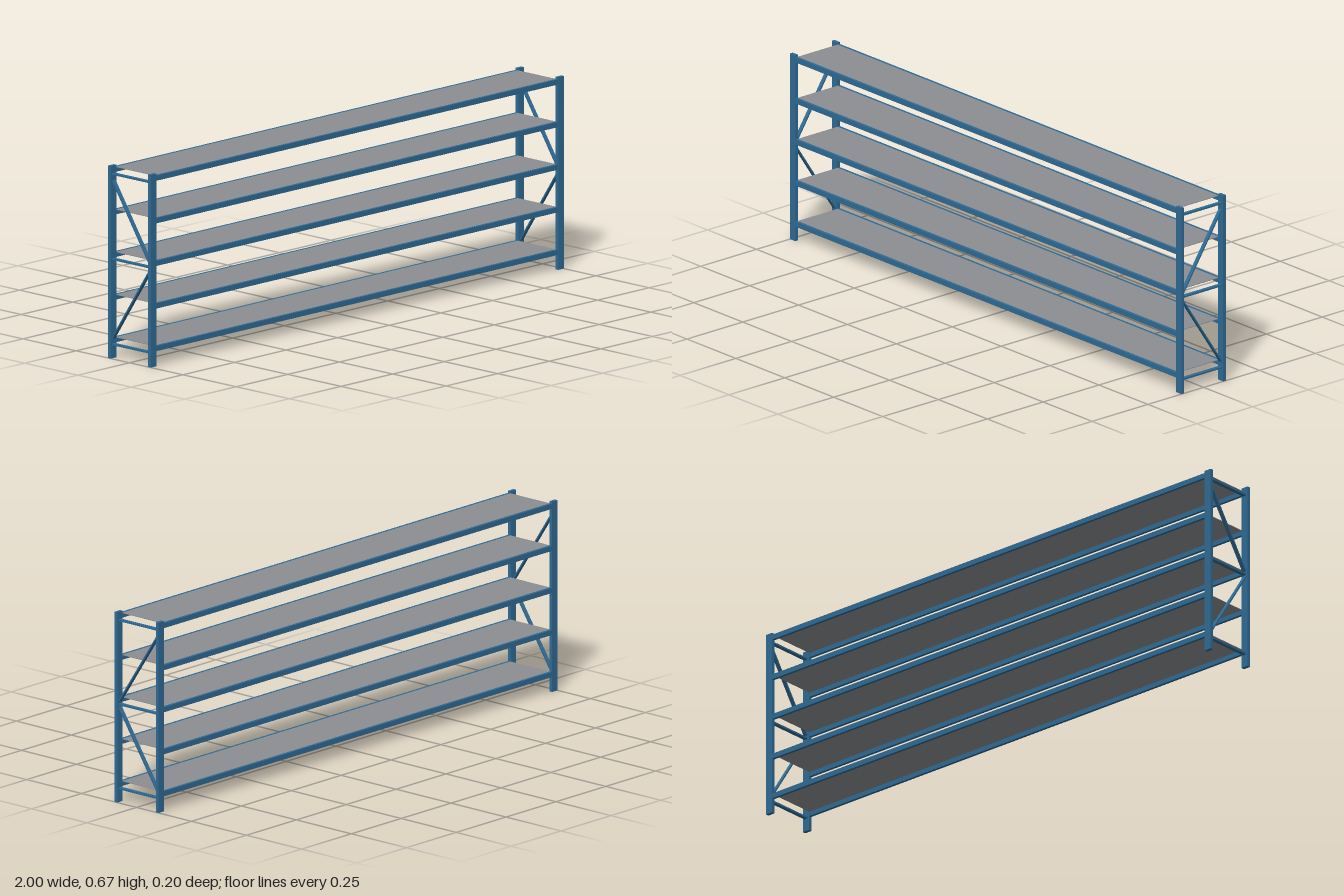
import * as THREE from 'three';

export function createModel() {
  const model = new THREE.Group();
  model.name = 'palletRack';
  const steelBlue = new THREE.MeshStandardMaterial({ color: 0x2f6a94 });
  steelBlue.name = 'steelBlue';
  const deckGrey = new THREE.MeshStandardMaterial({ color: 0x8b8e91 });
  deckGrey.name = 'deckGrey';

  const height = 0.667, postW = 0.027, postD = 0.0125;
  const postX = 1 - postW / 2, postZ = 0.1 - postD / 2;
  const innerX = 1 - postW, innerZ = 0.1 - postD;
  const braceW = 0.014;

  function box(parent, name, material, size, position) {
    const mesh = new THREE.Mesh(new THREE.BoxGeometry(...size), material);
    mesh.name = name;
    mesh.position.set(...position);
    parent.add(mesh);
    return mesh;
  }

  // Flat strip running between two (z, y) points of an end frame
  function diagonal(parent, x, z0, y0, z1, y1) {
    const dz = z1 - z0, dy = y1 - y0;
    const strip = box(parent, 'diagonalBrace', steelBlue,
      [braceW, 0.005, Math.hypot(dz, dy)], [x, (y0 + y1) / 2, (z0 + z1) / 2]);
    strip.rotation.x = -Math.atan2(dy, dz);
  }

  // End frames: two posts, three rungs and two diagonals each
  for (const side of [-1, 1]) {
    const frame = new THREE.Group();
    frame.name = side > 0 ? 'leftEndFrame' : 'rightEndFrame';
    const x = side * postX;
    for (const z of [-postZ, postZ]) {
      box(frame, 'post', steelBlue, [postW, height, postD], [x, height / 2, z]);
    }
    for (const y of [0.048, 0.343, 0.638]) {
      box(frame, 'crossBar', steelBlue, [braceW, 0.006, innerZ * 2], [x, y, 0]);
    }
    diagonal(frame, x, -innerZ, 0.07, innerZ, 0.333);
    diagonal(frame, x, innerZ, 0.353, -innerZ, 0.616);
    model.add(frame);
  }

  // Levels: a thin deck between a front and a back beam
  for (let i = 0; i < 5; i++) {
    const level = new THREE.Group();
    level.name = 'shelfLevel' + (i + 1);
    const top = 0.07 + i * 0.1475;
    for (const z of [-0.0945, 0.0945]) {
      box(level, 'beam', steelBlue, [innerX * 2, 0.018, 0.01], [0, top - 0.009, z]);
    }
    box(level, 'deck', deckGrey, [innerX * 2, 0.002, 0.179], [0, top - 0.001, 0]);
    model.add(level);
  }
  return model;
}
